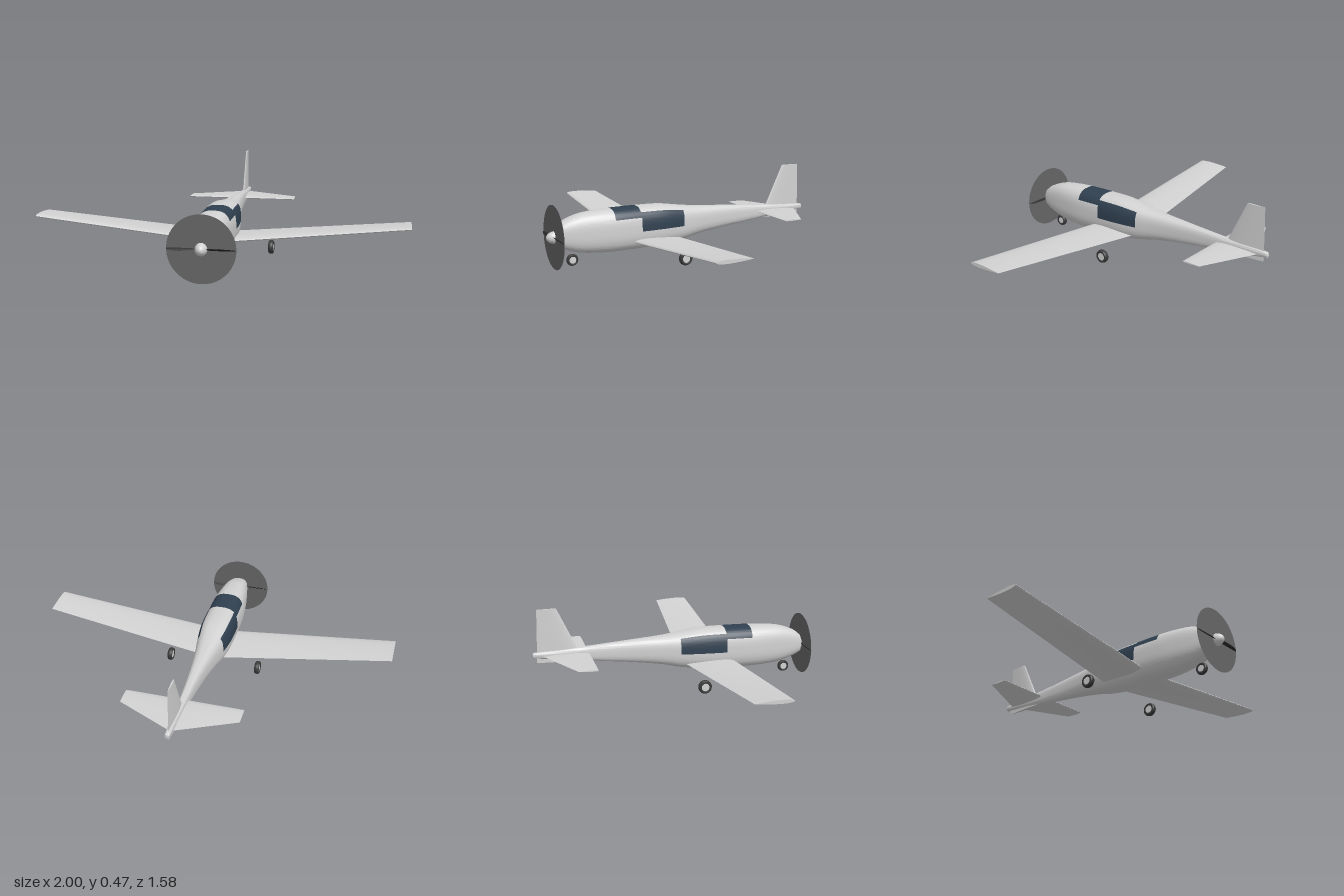
import * as THREE from 'three';
import { toCreasedNormals } from 'three/addons/utils/BufferGeometryUtils.js';

const material = (name, color, extra = {}) => Object.assign(new THREE.MeshStandardMaterial({ color, ...extra }), { name });

// Skins a list of rings (each counter-clockwise seen from the first ring's side) and caps both ends.
// isSecond(i, j) puts a quad into the second material group.
function loft(rings, isSecond = () => false) {
  const n = rings[0].length, last = rings.length - 1;
  const positions = rings.flat(2);
  const main = [], second = [];
  for (let i = 0; i < last; i++) {
    for (let j = 0; j < n; j++) {
      const k = (j + 1) % n;
      const a = i * n + j, b = i * n + k, c = (i + 1) * n + k, d = (i + 1) * n + j;
      (isSecond(i, j) ? second : main).push(a, d, b, b, d, c);
    }
  }
  for (const i of [0, last]) {
    const center = positions.length / 3;
    for (let axis = 0; axis < 3; axis++) {
      positions.push(rings[i].reduce((sum, p) => sum + p[axis], 0) / n);
    }
    for (let j = 0; j < n; j++) {
      const a = i * n + j, b = i * n + (j + 1) % n;
      if (i === 0) main.push(center, a, b);
      else main.push(center, b, a);
    }
  }
  const geometry = new THREE.BufferGeometry();
  geometry.setAttribute('position', new THREE.Float32BufferAttribute(positions, 3));
  geometry.setIndex([...main, ...second]);
  geometry.addGroup(0, main.length, 0);
  geometry.addGroup(main.length, second.length, 1);
  return toCreasedNormals(geometry, 0.7);
}

// Symmetric airfoil outline; place(z, offset) turns chord position and thickness into a point.
function airfoil(front, back, ratio, place, sides = 32) {
  const chord = front - back, ring = [];
  for (let j = 0; j < sides; j++) {
    const t = (j / sides) * Math.PI * 2;
    const u = (1 - Math.cos(t)) / 2;
    const half = 5 * ratio * chord *
      (0.2969 * Math.sqrt(u) - 0.126 * u - 0.3516 * u * u + 0.2843 * u ** 3 - 0.1036 * u ** 4);
    ring.push(place(front - chord * u, half * Math.sign(Math.round(Math.sin(t) * 1e6))));
  }
  return ring;
}

// Fuselage stations: z, top, bottom, half width
const STATIONS = [
  [0.737, 0.228, 0.127, 0.043], [0.70, 0.256, 0.108, 0.054], [0.62, 0.285, 0.083, 0.07],
  [0.53, 0.297, 0.072, 0.083], [0.43, 0.302, 0.068, 0.092], [0.28, 0.304, 0.071, 0.094],
  [0.14, 0.302, 0.077, 0.092], [0.02, 0.286, 0.092, 0.077], [-0.08, 0.274, 0.114, 0.06],
  [-0.225, 0.264, 0.135, 0.042], [-0.395, 0.252, 0.154, 0.028], [-0.57, 0.24, 0.174, 0.02],
  [-0.765, 0.229, 0.196, 0.014], [-0.783, 0.224, 0.2, 0.01], [-0.788, 0.217, 0.207, 0.004],
];
const STEPS = 4, SIDES = 90;

function fuselageGeometry() {
  const spline = (pick) => new THREE.CatmullRomCurve3(STATIONS.map(pick), false, 'catmullrom', 0.5);
  const upper = spline(([z, top, , w]) => new THREE.Vector3(z, top, w));
  const lower = spline(([z, , bottom]) => new THREE.Vector3(z, bottom, 0));
  const count = (STATIONS.length - 1) * STEPS;
  const bulge = (v) => Math.sign(v) * Math.abs(v) ** 0.72;
  const angle = (j) => -2 + 4 * j;
  const rings = [];
  for (let i = 0; i <= count; i++) {
    const a = upper.getPoint(i / count), b = lower.getPoint(i / count);
    const ring = [];
    for (let j = 0; j < SIDES; j++) {
      const t = THREE.MathUtils.degToRad(angle(j));
      ring.push([a.z * bulge(Math.cos(t)), (a.y + b.y) / 2 + ((a.y - b.y) / 2) * bulge(Math.sin(t)), a.x]);
    }
    rings.push(ring);
  }
  // Windscreen wraps over the top; side windows run behind it
  const isWindow = (i, j) => {
    const station = i / STEPS, mid = angle(j) + 2;
    if (station >= 4 && station < 5) return mid > 26 && mid < 154;
    if (station >= 5 && station < 7) return (mid > -2 && mid < 46) || (mid > 134 && mid < 182);
    return false;
  };
  return loft(rings, isWindow);
}

export function createModel() {
  const body = material('bodyPaint', 0xd2d2d2);
  const glass = material('windowGlass', 0x304050);
  const discGrey = material('propellerDiscGrey', 0x666666, { side: THREE.DoubleSide });
  const bladeBlack = material('bladeBlack', 0x2a2a2a);
  const rubber = material('tyreRubber', 0x3a3a3a);

  const model = new THREE.Group();
  model.name = 'airplane';
  const add = (name, geometry, mat, parent = model) => {
    const mesh = new THREE.Mesh(geometry, mat);
    mesh.name = name;
    parent.add(mesh);
    return mesh;
  };

  add('fuselage', fuselageGeometry(), [body, glass]);

  // Wing with dihedral, tip to tip
  const wingRing = (x) => airfoil(0.325, 0.045 + 0.083 * Math.abs(x), 0.1,
    (z, h) => [x, 0.113 + 0.104 * Math.abs(x) + h, z]);
  add('wing', loft([-1, 0, 1].map(wingRing)), body);

  // Tail surfaces
  const stabilizerRing = (x) => airfoil(-0.48, -0.737 + 0.155 * Math.abs(x) / 0.318, 0.07,
    (z, h) => [x, 0.207 + h, z]);
  add('horizontalStabilizer', loft([-0.318, 0, 0.318].map(stabilizerRing)), body);
  add('fin', loft([
    airfoil(-0.652, -0.757, 0.08, (z, h) => [h, 0.466, z]),
    airfoil(-0.511, -0.764, 0.08, (z, h) => [h, 0.169, z]),
  ]), body);

  // Propeller: spinner, spinning disc and two pitched blades
  const propeller = new THREE.Group();
  propeller.name = 'propeller';
  propeller.position.set(0, 0.173, 0.737);
  model.add(propeller);
  add('spinner', new THREE.SphereGeometry(1, 32, 20), body, propeller).scale.set(0.032, 0.034, 0.052);
  add('propellerDisc', new THREE.CircleGeometry(0.172, 64), discGrey, propeller).position.z = 0.01;
  for (const side of [-1, 1]) {
    const blade = add('blade', new THREE.SphereGeometry(1, 24, 12), bladeBlack, propeller);
    blade.scale.set(0.086, 0.003, 0.014);
    blade.rotation.x = -side * 0.6;
    blade.position.set(side * 0.086, 0, 0.012);
  }

  // Wheels: rounded tyre with a pale hub
  const wheel = (name, x, y, z, r, width) => {
    const group = new THREE.Group();
    group.name = name;
    group.position.set(x, y, z);
    group.rotation.z = Math.PI / 2;
    model.add(group);
    const w = width / 2, inner = r * 0.58;
    const profile = [[inner, -w * 0.8], [r * 0.8, -w], [r * 0.94, -w * 0.75], [r, -w * 0.3],
      [r, w * 0.3], [r * 0.94, w * 0.75], [r * 0.8, w], [inner, w * 0.8]];
    add('tyre', new THREE.LatheGeometry(profile.map((p) => new THREE.Vector2(...p)), 32), rubber, group);
    add('hub', new THREE.CylinderGeometry(inner, inner, width * 0.8, 32), body, group);
  };
  wheel('noseWheel', 0, 0.042, 0.648, 0.032, 0.024);
  for (const side of [-1, 1]) wheel('mainWheel', side * 0.258, 0.047, 0.105, 0.037, 0.028);

  return model;
}
